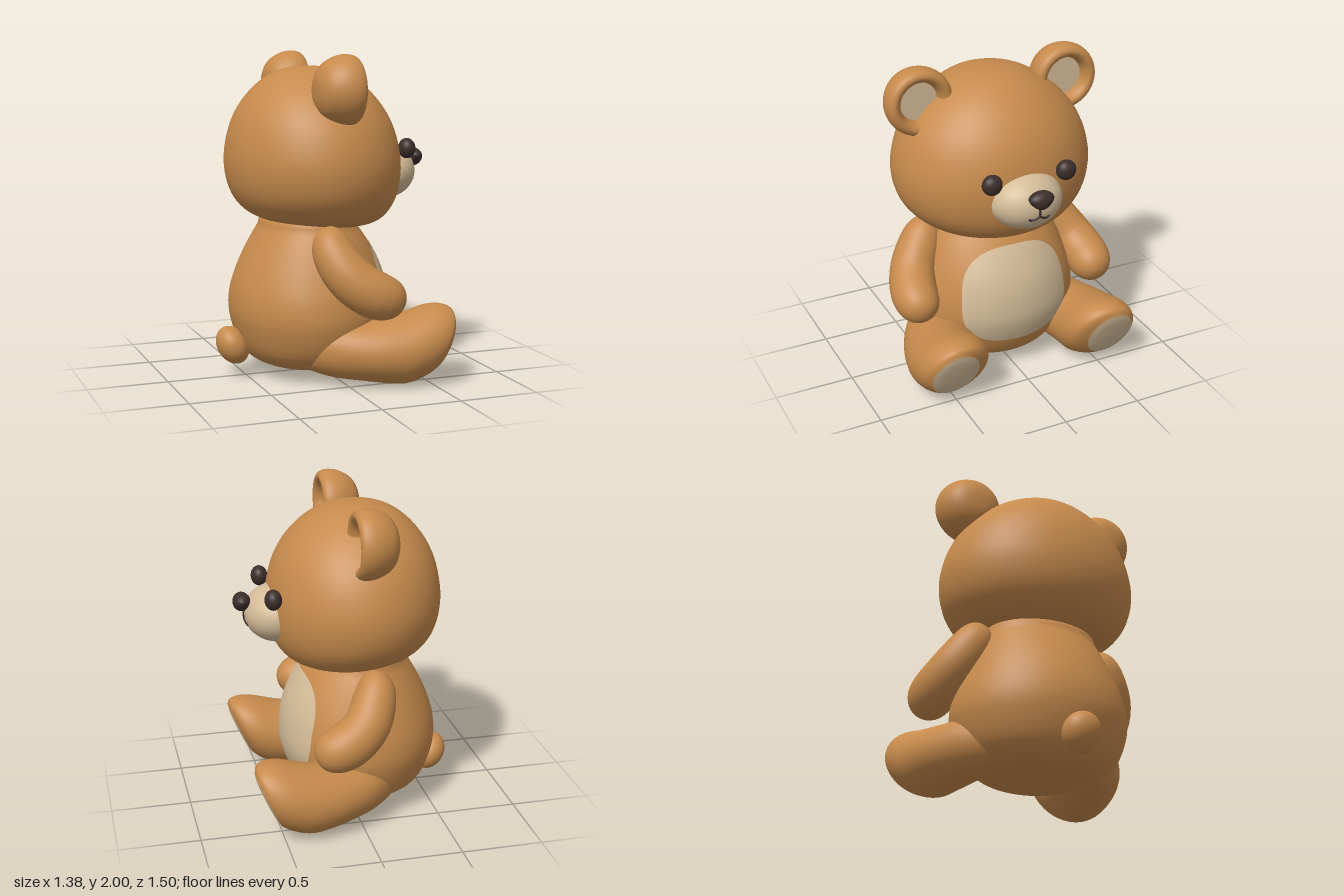
import * as THREE from 'three';

const fur = new THREE.MeshStandardMaterial({ color: 0xc68a4c });
fur.name = 'brown fur';
const cream = new THREE.MeshStandardMaterial({ color: 0xd3bb98 });
cream.name = 'cream fur';
const dark = new THREE.MeshStandardMaterial({ color: 0x3b2e2a });
dark.name = 'dark brown';

// Closed-ring surface from point(u, angle), turned to face outwards
function surface(rows, cols, point) {
  const pos = [], index = [];
  for (let i = 0; i <= rows; i++)
    for (let j = 0; j < cols; j++)
      pos.push(...point(i / rows, (j / cols) * Math.PI * 2));
  for (let i = 0; i < rows; i++)
    for (let j = 0; j < cols; j++) {
      const k = (j + 1) % cols, a = i * cols, b = a + cols;
      index.push(a + j, a + k, b + k, a + j, b + k, b + j);
    }
  const v = (n) => new THREE.Vector3().fromArray(pos, n * 3);
  let volume = 0;
  for (let i = 0; i < index.length; i += 3)
    volume += v(index[i]).dot(v(index[i + 1]).cross(v(index[i + 2])));
  if (volume < 0) index.reverse();
  const g = new THREE.BufferGeometry();
  g.setAttribute('position', new THREE.Float32BufferAttribute(pos, 3));
  g.setIndex(index);
  g.computeVertexNormals();
  return g;
}

// Smooth interpolation through a list of cross-sections
function sample(sections, u) {
  const n = sections.length - 1;
  const i = Math.min(Math.floor(u * n), n - 1), t = u * n - i;
  const at = (k) => sections[Math.min(Math.max(k, 0), n)];
  return sections[0].map((_, c) => {
    const [a, b, d, e] = [at(i - 1)[c], at(i)[c], at(i + 1)[c], at(i + 2)[c]];
    return b + 0.5 * t * (d - a + t * (2 * a - 5 * b + 4 * d - e + t * (3 * (b - d) + e - a)));
  });
}

// Upright form: sections are [y, centre z, half width, half depth]
const upright = (sections) => surface(48, 56, (u, a) => {
  const [y, cz, w, d] = sample(sections, u);
  return [Math.max(w, 0) * Math.cos(a), y, cz + Math.max(d, 0) * Math.sin(a)];
});

// Leg form: sections are [z, centre x, centre y, half width, half height, slant]
const forward = (sections, side, rows) => surface(rows, 40, (u, a) => {
  const [z, cx, cy, w, h, slant] = sample(sections, u);
  const dy = Math.max(h, 0) * Math.sin(a);
  return [side * (cx + Math.max(w, 0) * Math.cos(a)), cy + dy, z + slant * dy];
});

// Rounded limb along a curve, with radius going from r0 to r1
function limb(points, r0, r1) {
  const rows = 40, curve = new THREE.CatmullRomCurve3(points);
  const f = curve.computeFrenetFrames(rows);
  return surface(rows, 32, (u, a) => {
    const t = 0.5 - 0.5 * Math.cos(u * Math.PI), i = Math.round(t * rows);
    const r = (r0 + (r1 - r0) * t) * Math.sqrt(Math.max(0, 1 - (2 * t - 1) ** 4));
    return curve.getPointAt(t)
      .addScaledVector(f.normals[i], r * Math.cos(a))
      .addScaledVector(f.binormals[i], r * Math.sin(a)).toArray();
  });
}

const ellipsoid = (x, y, z) => new THREE.SphereGeometry(1, 40, 28).scale(x, y, z);

// Point on the front of a mesh, lifted slightly
function onFront(mesh, x, y, lift) {
  const ray = new THREE.Raycaster(new THREE.Vector3(x, y, 2), new THREE.Vector3(0, 0, -1));
  const hit = ray.intersectObject(mesh)[0];
  return new THREE.Vector3(x, y, (hit ? hit.point.z : 0) + lift);
}

export function createModel() {
  const model = new THREE.Group();
  model.name = 'teddyBear';
  const bear = new THREE.Group();
  bear.name = 'bear';
  model.add(bear);
  const add = (name, geometry, material, x = 0, y = 0, z = 0) => {
    const mesh = new THREE.Mesh(geometry, material);
    mesh.name = name;
    mesh.position.set(x, y, z);
    mesh.updateMatrixWorld();
    bear.add(mesh);
    return mesh;
  };

  // Head and body
  add('head', upright([
    [0.925, 0.05, 0, 0], [0.93, 0.04, 0.2, 0.18], [0.96, 0.01, 0.38, 0.33],
    [1.03, -0.03, 0.51, 0.445], [1.15, -0.05, 0.6, 0.515], [1.32, -0.06, 0.632, 0.54],
    [1.5, -0.065, 0.595, 0.515], [1.65, -0.07, 0.515, 0.455], [1.78, -0.075, 0.39, 0.355],
    [1.87, -0.08, 0.25, 0.235], [1.91, -0.085, 0.12, 0.11], [1.92, -0.09, 0, 0],
  ]), fur);
  const body = add('body', upright([
    [0.05, -0.05, 0, 0], [0.055, -0.05, 0.2, 0.2], [0.08, -0.07, 0.36, 0.33],
    [0.17, -0.09, 0.48, 0.42], [0.35, -0.09, 0.55, 0.485], [0.5, -0.09, 0.545, 0.49],
    [0.65, -0.085, 0.5, 0.455], [0.8, -0.085, 0.44, 0.385], [0.92, -0.09, 0.38, 0.31],
    [1.0, -0.1, 0.32, 0.25], [1.05, -0.1, 0, 0],
  ]), fur);

  // Belly patch: rounded square laid on the body
  const round = (v) => Math.sign(v) * Math.abs(v) ** 0.75;
  add('bellyPatch', surface(16, 56, (u, a) => {
    const s = round(Math.sin(a)) * u;
    const x = 0.355 * round(Math.cos(a)) * u * (1 - 0.08 * s);
    return onFront(body, x, 0.545 + 0.315 * s, 0.006).toArray();
  }), cream);

  // Tail
  add('tail', ellipsoid(0.12, 0.125, 0.095).rotateX(-0.5), fur, 0, 0.195, -0.585);

  // Muzzle, nose and mouth
  const muzzle = add('muzzle', ellipsoid(0.23, 0.178, 0.2), cream, 0, 1.25, 0.42);
  const nose = ellipsoid(0.076, 0.058, 0.055);
  const p = nose.attributes.position;
  for (let i = 0; i < p.count; i++) // narrower towards the bottom
    p.setX(i, p.getX(i) * (1 + 6 * Math.min(p.getY(i), 0.015)));
  nose.computeVertexNormals();
  add('nose', nose, dark, 0, 1.33, 0.633);
  const line = (name, points) => add(name, new THREE.TubeGeometry(
    new THREE.CatmullRomCurve3(points.map(([x, y]) => onFront(muzzle, x, y, 0.002))),
    16, 0.007, 8), dark);
  line('mouthLine', [[0, 1.3], [0, 1.25], [0, 1.21]]);

  for (const side of [1, -1]) {
    const label = side > 0 ? 'left' : 'right';
    line(label + 'Mouth', [[0, 1.215], [side * 0.025, 1.2], [side * 0.05, 1.195], [side * 0.07, 1.205]]);
    add(label + 'Eye', ellipsoid(0.063, 0.063, 0.052), dark, side * 0.243, 1.41, 0.48);

    // Ear: domed back, rolled rim and sunken lining
    const rim = new THREE.SplineCurve([
      [0, -0.215], [0.08, -0.207], [0.15, -0.17], [0.195, -0.1], [0.211, -0.03],
      [0.2, 0.025], [0.17, 0.045], [0.14, 0.03], [0.122, -0.01], [0.118, -0.05],
    ].map(([x, y]) => new THREE.Vector2(x, y))).getPoints(36);
    rim[0].x = 0;
    add(label + 'Ear', new THREE.LatheGeometry(rim, 40).rotateX(Math.PI / 2), fur, side * 0.483, 1.79, 0);
    add(label + 'EarLining', new THREE.CircleGeometry(0.125, 40), cream, side * 0.483, 1.79, -0.025);

    // Arm
    add(label + 'Arm', limb([
      [0.4, 0.97, -0.11], [0.47, 0.82, -0.09], [0.56, 0.67, -0.01],
      [0.605, 0.57, 0.14], [0.58, 0.54, 0.31],
    ].map(([x, y, z]) => new THREE.Vector3(side * x, y, z)), 0.13, 0.155), fur);

    // Leg with a slanted sole pad
    const sole = [0.585, 0.535, 0.24, 0.152, 0.172, 0.45];
    add(label + 'Leg', forward([
      [-0.3, 0.28, 0.24, 0, 0, 0], [-0.25, 0.3, 0.235, 0.12, 0.12, 0],
      [-0.1, 0.37, 0.22, 0.2, 0.17, 0], [0.1, 0.45, 0.207, 0.23, 0.185, 0],
      [0.3, 0.5, 0.21, 0.235, 0.21, 0.1], [0.45, 0.505, 0.237, 0.235, 0.235, 0.35],
      [0.545, 0.515, 0.245, 0.205, 0.213, 0.45], sole,
    ], side, 42), fur);
    add(label + 'SolePad', forward([
      sole, [0.598, 0.535, 0.24, 0.1, 0.115, 0.45], [0.603, 0.535, 0.24, 0, 0, 0.45],
    ], side, 8), cream);
  }

  // Turn the bear to its final heading
  bear.rotation.y = Math.PI / 2;
  return model;
}
